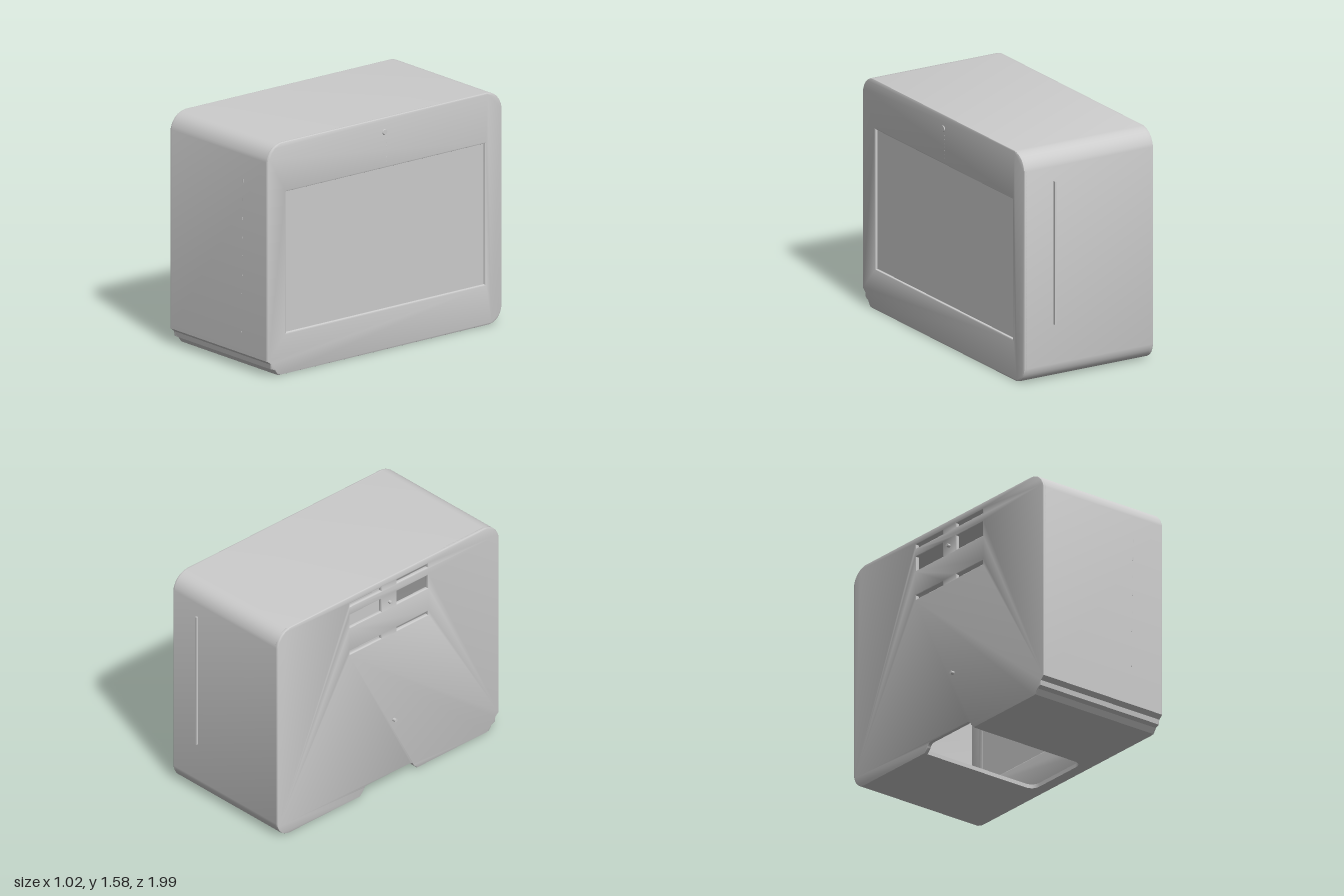
import * as THREE from 'three';
import { toCreasedNormals } from 'three/addons/utils/BufferGeometryUtils.js';

// Profiles are drawn in (u, y) with u = -z, then extruded along x.
const GAP_BACK = 0.24, GAP_FRONT = -0.27;

// Outline from the back edge of the floor opening, round the case, to its front edge
function tracePath(path) {
  path.moveTo(GAP_BACK, 0);
  path.lineTo(0.87, 0);
  path.quadraticCurveTo(0.965, 0.01, 0.98, 0.11);
  path.lineTo(0.98, 1.46);
  path.quadraticCurveTo(0.96, 1.56, 0.86, 1.575);
  path.lineTo(-0.87, 1.575);
  path.quadraticCurveTo(-0.975, 1.565, -1, 1.46);
  path.lineTo(-1, 0.11);
  // stepped lower front corner
  for (const [u, y] of [[-0.97, 0.085], [-0.965, 0.052], [-0.935, 0.038], [-0.91, 0.004], [-0.89, 0]]) path.lineTo(u, y);
  path.lineTo(GAP_FRONT, 0);
  return path;
}

function rectHole(z0, z1, y0, y1) {
  const h = new THREE.Path();
  h.moveTo(-z1, y0);
  h.lineTo(-z1, y1);
  h.lineTo(-z0, y1);
  h.lineTo(-z0, y0);
  h.closePath();
  return h;
}

// Extrude a (u, y) shape from x0 to x1, with an optional edge bevel
function extrudeX(shape, x0, x1, bevel = 0) {
  const g = new THREE.ExtrudeGeometry(shape, {
    depth: x1 - x0 - 2 * bevel, curveSegments: 8, bevelEnabled: bevel > 0,
    bevelThickness: bevel, bevelSize: bevel, bevelOffset: -bevel, bevelSegments: 2,
  });
  g.translate(0, 0, x0 + bevel);
  g.rotateY(Math.PI / 2);
  return toCreasedNormals(g, 0.5);
}

export function createModel() {
  const model = new THREE.Group();
  model.name = 'case';
  const grey = new THREE.MeshStandardMaterial({ color: 0xcccccc });
  grey.name = 'grey plastic';

  const add = (name, geometry, x = 0, y = 0, z = 0) => {
    const m = new THREE.Mesh(geometry, grey);
    m.name = name;
    m.position.set(x, y, z);
    model.add(m);
    return m;
  };

  // Hollow wrap of front, top, back and floor, broken at the floor opening
  const outer = tracePath(new THREE.Path()).getPoints(8);
  const inner = outer.map((p) => new THREE.Vector2(-0.01 + (p.x + 0.01) * 0.97, 0.7875 + (p.y - 0.7875) * 0.965));
  inner[0].x = GAP_BACK;
  inner[inner.length - 1].x = GAP_FRONT;
  add('wrapShell', extrudeX(new THREE.Shape([...outer, ...inner.reverse()]), -0.478, 0.483));

  // Floor strip closing the opening beside the screen, with rounded corners
  const strip = new THREE.Shape();
  const r = 0.07, edge = 0.41, zb = -GAP_BACK, zf = -GAP_FRONT;
  strip.moveTo(0.483, zb);
  strip.lineTo(0.483, zf);
  strip.lineTo(edge - r, zf);
  strip.quadraticCurveTo(edge, zf, edge, zf - r);
  strip.lineTo(edge, zb + r);
  strip.quadraticCurveTo(edge, zb, edge - r, zb);
  strip.closePath();
  const floor = new THREE.ExtrudeGeometry(strip, { depth: 0.0276, bevelEnabled: false, curveSegments: 8 });
  floor.rotateX(Math.PI / 2);
  floor.translate(0, 0.0276, 0);
  add('floorStrip', toCreasedNormals(floor, 0.5));

  // Left side: frame around the recessed screen
  const frame = tracePath(new THREE.Shape());
  frame.closePath();
  frame.holes.push(rectHole(-0.835, 0.84, 0.28, 1.235));
  add('screenFrame', extrudeX(frame, 0.467, 0.497, 0.01));
  add('screen', new THREE.BoxGeometry(0.009, 0.975, 1.695), 0.476, 0.7575, 0.0025);

  // Right side: panel with a cable notch and port slots
  const panel = tracePath(new THREE.Shape());
  panel.lineTo(GAP_FRONT + 0.03, 0.03);
  panel.quadraticCurveTo(GAP_FRONT + 0.04, 0.06, GAP_FRONT + 0.07, 0.06);
  panel.lineTo(GAP_BACK - 0.07, 0.06);
  panel.quadraticCurveTo(GAP_BACK - 0.04, 0.06, GAP_BACK - 0.03, 0.03);
  panel.closePath();
  for (const [z0, z1] of [[-0.33, -0.05], [0.09, 0.365]]) {
    for (const [y0, y1] of [[1.34, 1.44], [1.5, 1.528], [1.135, 1.163]]) panel.holes.push(rectHole(z0, z1, y0, y1));
  }
  add('portPanel', extrudeX(panel, -0.492, -0.464, 0.006));

  // Small pegs on the port panel
  for (const [y, z] of [[1.39, 0.02], [0.465, 0.06]]) {
    const peg = add('peg', new THREE.CylinderGeometry(0.012, 0.012, 0.03, 10), -0.5, y, z);
    peg.rotation.z = Math.PI / 2;
  }

  // Camera dot and dashed seam above the screen
  const dot = add('cameraDot', new THREE.CylinderGeometry(0.018, 0.022, 0.008, 12), 0.498, 1.48, 0.01);
  dot.rotation.z = -Math.PI / 2;
  for (let i = 0; i < 7; i++) add('seamDash', new THREE.BoxGeometry(0.004, 0.008, 0.006), 0.497, 1.28 + i * 0.025, -0.003);

  // Dashed seam on the front and fine rib on the back
  for (let i = 0; i < 9; i++) {
    add('frontSeamDash', new THREE.BoxGeometry(0.005, 0.006 + i * 0.002, 0.004), 0.234 + i * 0.002, 0.255 + i * 0.1285, 1.0);
  }
  add('backRib', new THREE.BoxGeometry(0.014, 0.98, 0.02), 0.265, 0.87, -0.983);
  return model;
}
